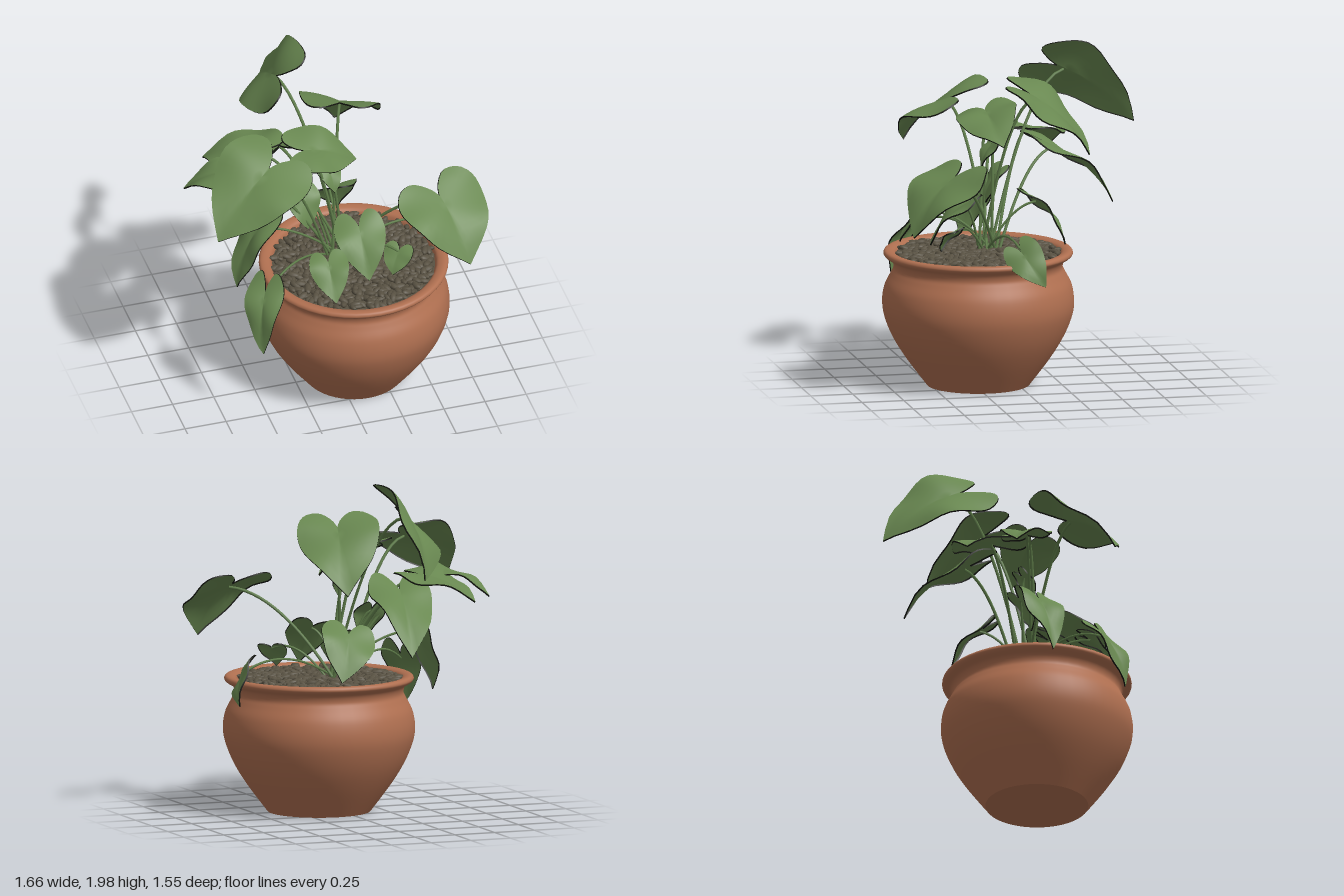
import * as THREE from 'three';
import { mergeGeometries } from 'three/addons/utils/BufferGeometryUtils.js';

const UP = new THREE.Vector3(0, 1, 0);

function material(name, color, side = THREE.FrontSide) {
  const m = new THREE.MeshStandardMaterial({ color, side });
  m.name = name;
  return m;
}
const clay = material('terracotta', 0xaf6f50, THREE.DoubleSide);
const leafGreen = material('leaf green', 0x698851, THREE.DoubleSide);
const edgeDark = material('leaf edge dark', 0x12140e, THREE.DoubleSide);
const stemGreen = material('stem green', 0x5f7d4a);
const stone = material('pebble brown', 0x585142);

// Small seeded random generator
function seeded(seed) {
  return () => {
    seed = (seed * 16807) % 2147483647;
    return seed / 2147483647;
  };
}

// Smooth 2D curve through a few points
function smoothPoints(points, count) {
  return new THREE.SplineCurve(points.map(([x, y]) => new THREE.Vector2(x, y))).getPoints(count);
}

// Heart-shaped outline: x across, y from the notch (0) to the tip (1), mirrored
const half = smoothPoints([
  [0, 0], [0.06, -0.14], [0.2, -0.28], [0.36, -0.25], [0.47, -0.08],
  [0.5, 0.14], [0.43, 0.4], [0.28, 0.67], [0, 1],
], 22);
const outline = [...half, ...half.slice(1, -1).reverse().map((p) => new THREE.Vector2(-p.x, p.y))];

// Leaf blade: rings grown from the heart of the blade, arched lengthwise and folded at the midrib.
// Group 0 is the blade, group 1 the thin dark edge.
function leafGeometry(base, tip, width, roll, phase) {
  const along = tip.clone().sub(base);
  const len = along.length(), rings = 6, n = outline.length;
  const across = along.clone().cross(UP).normalize().applyAxisAngle(along.clone().normalize(), -roll);
  const normal = across.clone().cross(along).normalize();
  const pos = [], index = [];
  const put = (v, u, drop = 0) => {
    const arch = 0.34 * u * (1 - u);
    const fold = 0.2 * Math.abs(v) - 0.38 * v * v;
    const wave = 0.12 * Math.abs(v) * Math.sin(u * 7 + phase + Math.sign(v));
    const p = base.clone().addScaledVector(along, u).addScaledVector(across, width * v)
      .addScaledVector(normal, len * (arch + fold + wave) - drop);
    pos.push(p.x, p.y, p.z);
  };
  const band = (a, i, j) => index.push(a + i, a + n + i, a + n + j, a + i, a + n + j, a + j);
  put(0, 0.14);
  for (let r = 1; r <= rings; r++) {
    const t = r / rings;
    for (const p of outline) put(p.x * t, 0.14 + (p.y - 0.14) * t);
  }
  for (const drop of [0, 0.009]) for (const p of outline) put(p.x, p.y, drop);
  for (let i = 0; i < n; i++) {
    const j = (i + 1) % n;
    index.push(0, 1 + i, 1 + j);
    for (let r = 0; r < rings - 1; r++) band(1 + r * n, i, j);
  }
  const bladeCount = index.length;
  for (let i = 0; i < n; i++) band(1 + rings * n, i, (i + 1) % n);
  const g = new THREE.BufferGeometry();
  g.setAttribute('position', new THREE.Float32BufferAttribute(pos, 3));
  g.setIndex(index);
  g.addGroup(0, bladeCount, 0);
  g.addGroup(bladeCount, index.length - bladeCount, 1);
  g.computeVertexNormals();
  return g;
}

// Arching stem from the crown to just inside the leaf notch
function stemGeometry(base, tip, i) {
  const angle = i * 2.4, spread = 0.03 + 0.015 * (i % 3);
  const root = new THREE.Vector3(0.03 + spread * Math.cos(angle), 0.76, 0.14 + spread * Math.sin(angle));
  const bend = root.clone().lerp(base, 0.55);
  bend.y = Math.max(base.y * 0.97, 1.02);
  const curve = new THREE.QuadraticBezierCurve3(root, bend, base.clone().lerp(tip, 0.08));
  return new THREE.TubeGeometry(curve, 18, base.y > 1.3 ? 0.009 : 0.007, 6);
}

// One leaf with its stem; roll tilts the blade about its midrib
function addLeaf(plant, base, tip, width, roll = 0) {
  const i = plant.children.length;
  const b = new THREE.Vector3(...base), t = new THREE.Vector3(...tip);
  const leaf = new THREE.Group();
  leaf.name = 'leaf';
  const blade = new THREE.Mesh(leafGeometry(b, t, width, roll, i * 1.7), [leafGreen, edgeDark]);
  blade.name = 'leafBlade';
  const stem = new THREE.Mesh(stemGeometry(b, t, i), stemGreen);
  stem.name = 'leafStem';
  leaf.add(blade, stem);
  plant.add(leaf);
}

function buildPlant() {
  const plant = new THREE.Group();
  plant.name = 'plant';
  // Tall leaves at the back
  addLeaf(plant, [-0.2, 1.81, -0.32], [-0.16, 1.47, -0.77], 0.49, 0.9);
  addLeaf(plant, [0.12, 1.71, -0.09], [0.19, 1.35, -0.43], 0.48, -0.16);
  addLeaf(plant, [-0.2, 1.35, -0.26], [-0.13, 1, -0.64], 0.37, 0.15);
  addLeaf(plant, [0.06, 1.08, -0.12], [0.17, 0.82, -0.29], 0.33, 0.42);
  // Spreading leaves at the right
  addLeaf(plant, [-0.42, 1.6, 0.27], [-0.79, 1.29, 0.47], 0.56, 0.3);
  addLeaf(plant, [-0.36, 1.42, -0.16], [-0.63, 1.27, -0.38], 0.45);
  addLeaf(plant, [-0.55, 1.42, 0], [-0.82, 1.26, -0.13], 0.3);
  // Leaves hanging over the rim
  addLeaf(plant, [-0.5, 0.86, 0.46], [-0.55, 0.51, 0.59], 0.23, -0.45);
  addLeaf(plant, [-0.42, 1.08, 0.1], [-0.58, 0.69, 0.15], 0.25);
  addLeaf(plant, [0.63, 0.88, 0.08], [0.72, 0.68, -0.05], 0.22, -1.06);
  // Large leaf at the left
  addLeaf(plant, [0.56, 1.33, 0.46], [0.67, 1, 0.73], 0.56);
  // Small leaves at the centre and front
  addLeaf(plant, [-0.16, 1.57, 0.12], [0.17, 1.41, 0.08], 0.36, -0.35);
  addLeaf(plant, [-0.15, 1.2, 0.05], [-0.14, 1, 0.13], 0.2);
  addLeaf(plant, [-0.01, 1.41, 0.1], [0.01, 1.27, 0.18], 0.15);
  addLeaf(plant, [0.12, 1.08, 0.29], [0.12, 0.84, 0.51], 0.3, -0.16);
  addLeaf(plant, [-0.12, 1, 0.47], [-0.12, 0.82, 0.64], 0.23, -0.2);
  addLeaf(plant, [0.33, 0.95, 0.41], [0.27, 0.83, 0.48], 0.18);
  return plant;
}

// Long pebbles scattered in a spiral over the soil
function pebbleGeometry(count) {
  const rand = seeded(4711), pebbles = [];
  for (let i = 0; i < count; i++) {
    const r = 0.465 * Math.sqrt((i + 0.5) / count), a = i * 2.39996 + rand() * 0.1;
    const size = 0.85 + rand() * 0.4;
    const g = new THREE.SphereGeometry(size, 8, 6);
    g.scale(0.034, 0.015, 0.018);
    g.rotateZ((rand() - 0.5) * 0.7);
    g.rotateY(rand() * Math.PI);
    g.translate(r * Math.cos(a), 0.772 + rand() * 0.016, r * Math.sin(a));
    pebbles.push(g);
  }
  return mergeGeometries(pebbles);
}

function buildPot() {
  const pot = new THREE.Group();
  pot.name = 'pot';
  const add = (name, geometry, mat) => {
    const mesh = new THREE.Mesh(geometry, mat);
    mesh.name = name;
    pot.add(mesh);
  };
  // Rounded body with a flared, rolled rim and an inner wall
  const profile = smoothPoints([
    [0.3, 0], [0.42, 0.16], [0.5, 0.29], [0.548, 0.41], [0.56, 0.5], [0.545, 0.59],
    [0.51, 0.66], [0.493, 0.7], [0.505, 0.74], [0.54, 0.762], [0.553, 0.78],
    [0.543, 0.798], [0.515, 0.8], [0.485, 0.785], [0.47, 0.74],
  ], 64);
  add('potBody', new THREE.LatheGeometry(profile, 48), clay);
  add('potBase', new THREE.CircleGeometry(0.3, 48).rotateX(Math.PI / 2), clay);
  add('soil', new THREE.CircleGeometry(0.475, 40).rotateX(-Math.PI / 2).translate(0, 0.762, 0), stone);
  add('pebbles', pebbleGeometry(560), stone);
  pot.position.set(0.11, 0, 0.22);
  return pot;
}

export function createModel() {
  const model = new THREE.Group();
  model.name = 'pottedPlant';
  model.add(buildPot(), buildPlant());
  return model;
}
